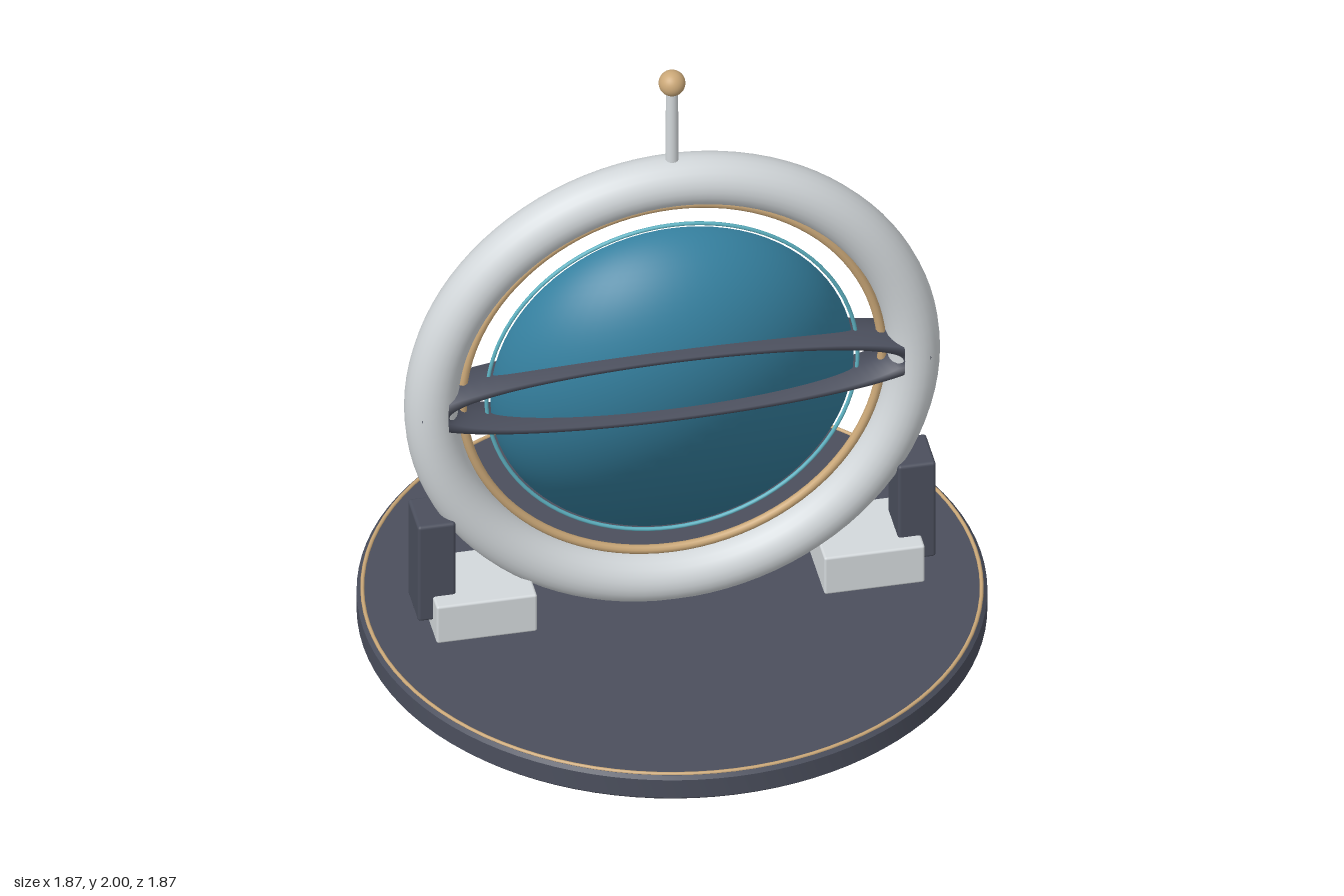
import * as THREE from 'three';
import { RoundedBoxGeometry } from 'three/addons/geometries/RoundedBoxGeometry.js';
import { toCreasedNormals } from 'three/addons/utils/BufferGeometryUtils.js';

const CENTER_Y = 0.87;

function material(name, color) {
  const m = new THREE.MeshStandardMaterial({ color });
  m.name = name;
  return m;
}

export function createModel() {
  const model = new THREE.Group();
  model.name = 'ringMonument';

  const paleGrey = material('pale grey', 0xd3d8db);
  const slate = material('slate', 0x4b4f5d);
  const gold = material('gold', 0xcba878);
  const blue = material('deep blue', 0x35809f);
  const cyan = material('cyan', 0x5fb4c4);

  function add(name, geometry, mat, x = 0, y = 0, z = 0) {
    const mesh = new THREE.Mesh(geometry, mat);
    mesh.name = name;
    mesh.position.set(x, y, z);
    model.add(mesh);
    return mesh;
  }

  // Round base with a small bevel on both rims
  const baseProfile = [[0, 0], [0.925, 0], [0.935, 0.01], [0.935, 0.075], [0.925, 0.086], [0, 0.086]]
    .map(([r, y]) => new THREE.Vector2(r, y));
  add('base', toCreasedNormals(new THREE.LatheGeometry(baseProfile, 96), 0.5), slate);
  const trim = new THREE.TorusGeometry(0.918, 0.006, 8, 96);
  trim.rotateX(Math.PI / 2);
  add('baseTrim', trim, gold, 0, 0.086, 0);

  // Upright main ring and its inner gold lining
  add('mainRing', new THREE.TorusGeometry(0.73, 0.08, 24, 96), paleGrey, 0, CENTER_Y, 0);
  add('innerLining', new THREE.TorusGeometry(0.636, 0.014, 10, 96), gold, 0, CENTER_Y, 0);

  // Thin lens with rounded shading: flatten the positions, keep the round normals
  const lens = new THREE.SphereGeometry(0.55, 64, 40);
  const p = lens.attributes.position;
  for (let i = 0; i < p.count; i++) p.setZ(i, p.getZ(i) * 0.055);
  add('lens', lens, blue, 0, CENTER_Y, 0);
  add('lensRim', new THREE.TorusGeometry(0.562, 0.006, 8, 96), cyan, 0, CENTER_Y, 0);

  // Flattened six-sided hoop across the lens
  const hoop = new THREE.TorusGeometry(0.73, 0.0808, 6, 80);
  hoop.scale(1, 0.148, 1);
  add('crossHoop', hoop, slate, 0, CENTER_Y, 0);

  // Feet and side posts, mirrored
  for (const [side, s] of [['left', 1], ['right', -1]]) {
    add(side + 'Foot', new RoundedBoxGeometry(0.305, 0.136, 0.26, 2, 0.008), paleGrey, s * 0.587, 0.152, 0);
    add(side + 'Post', new RoundedBoxGeometry(0.115, 0.35, 0.15, 2, 0.01), slate, s * 0.727, 0.307, 0);
  }

  // Mast with a ball finial
  add('mast', new THREE.CylinderGeometry(0.018, 0.02, 0.3, 20), paleGrey, 0, 1.8, 0);
  add('finial', new THREE.SphereGeometry(0.04, 28, 20), gold, 0, 1.96, 0);

  return model;
}
